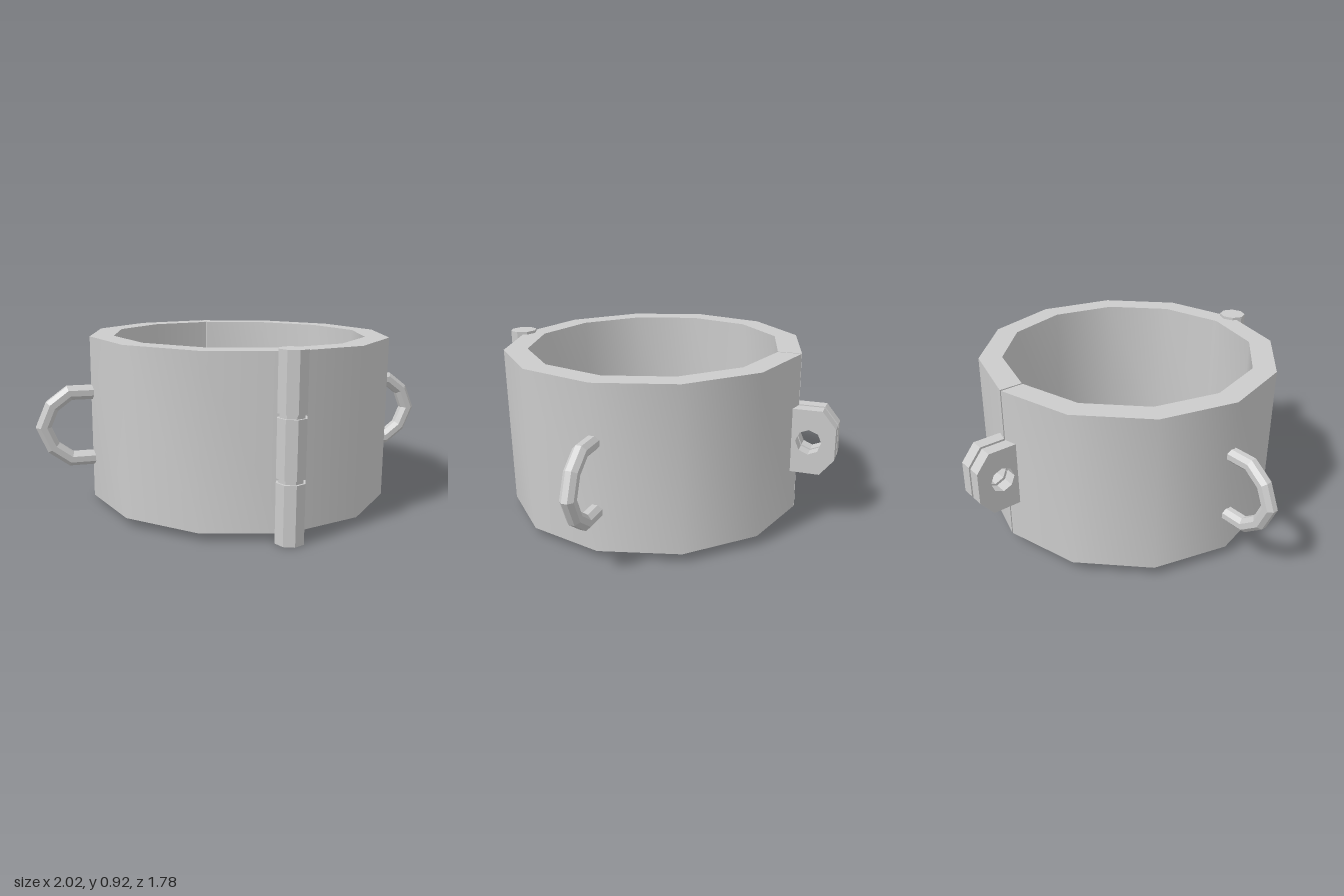
import * as THREE from 'three';
import { toCreasedNormals } from 'three/addons/utils/BufferGeometryUtils.js';

const rad = THREE.MathUtils.degToRad;
const CENTER_Z = 0.067, TILT = 0.011;
const SEAM = -65.5; // direction of the opening, opposite the hinge
const smooth = new THREE.MeshStandardMaterial({ color: 0xcccccc });
const faceted = new THREE.MeshStandardMaterial({ color: 0xcccccc, flatShading: true });

function add(parent, name, geometry, material) {
  const mesh = new THREE.Mesh(geometry, material);
  mesh.name = name;
  parent.add(mesh);
  return mesh;
}

// A pivot whose local +x points radially outward at the given angle
function spoke(parent, name, degrees) {
  const g = new THREE.Group();
  g.name = name;
  g.rotation.y = -rad(degrees);
  parent.add(g);
  return g;
}

// Half of the twelve-sided band, with a narrow slit at the opening
function halfBand(start, trimStart, trimEnd) {
  const outer = [], inner = [];
  for (let i = 0; i <= 6; i++) {
    const a = rad(start + i * 30 + (i === 0 ? trimStart : 0) - (i === 6 ? trimEnd : 0));
    outer.push(new THREE.Vector2(Math.cos(a), Math.sin(a)).multiplyScalar(0.81));
    inner.unshift(new THREE.Vector2(Math.cos(a), Math.sin(a)).multiplyScalar(0.685));
  }
  const geo = new THREE.ExtrudeGeometry(new THREE.Shape([...outer, ...inner]), { depth: 0.86, bevelEnabled: false });
  geo.rotateX(Math.PI / 2).translate(0, 0.907, 0);
  return toCreasedNormals(geo, rad(40));
}

// Plate with chamfered outer corners and a bolt hole
function lugPlate() {
  const shape = new THREE.Shape([
    [0.77, -0.175], [0.945, -0.175], [1.018, -0.085],
    [1.018, 0.085], [0.945, 0.175], [0.77, 0.175],
  ].map(([x, y]) => new THREE.Vector2(x, y)));
  const hole = [];
  for (let i = 0; i < 8; i++) {
    const a = -i * Math.PI / 4;
    hole.push(new THREE.Vector2(0.88 + 0.068 * Math.cos(a), 0.068 * Math.sin(a)));
  }
  shape.holes.push(new THREE.Path(hole));
  return new THREE.ExtrudeGeometry(shape, { depth: 0.067, bevelEnabled: false });
}

// Mitred sweep of an eight-sided section along a path in the xy plane
function sweep(points, radius, sides = 8) {
  const pos = [], index = [], n = points.length;
  points.forEach((p, i) => {
    const before = p.clone().sub(points[Math.max(i - 1, 0)]).normalize();
    const after = points[Math.min(i + 1, n - 1)].clone().sub(p).normalize();
    const tangent = before.clone().add(after).normalize();
    const miter = 1 / tangent.dot(i < n - 1 ? after : before);
    for (let j = 0; j < sides; j++) {
      const a = (j + 0.5) / sides * Math.PI * 2;
      const u = Math.cos(a) * radius * miter;
      pos.push(p.x - tangent.y * u, p.y + tangent.x * u, Math.sin(a) * radius);
      if (i < n - 1) {
        const k = (j + 1) % sides, s = i * sides, e = s + sides;
        index.push(s + j, s + k, e + j, s + k, e + k, e + j);
      }
    }
  });
  const geo = new THREE.BufferGeometry();
  geo.setAttribute('position', new THREE.Float32BufferAttribute(pos, 3));
  geo.setIndex(index);
  geo.computeVertexNormals();
  return geo;
}

export function createModel() {
  const model = new THREE.Group();
  model.name = 'hingedCuff';
  const tilted = new THREE.Group();
  tilted.name = 'cuffBody';
  tilted.rotation.x = TILT;
  tilted.position.set(0, 0, CENTER_Z - 0.46 * TILT);
  model.add(tilted);

  // Band halves
  add(tilted, 'leftHalfBand', halfBand(SEAM, 0.35, 0), smooth);
  add(tilted, 'rightHalfBand', halfBand(SEAM + 180, 0, 0.35), smooth);

  // Hinge: three barrels on a thinner pin
  const hinge = spoke(tilted, 'hinge', SEAM + 180);
  for (const [y0, y1] of [[0.009, 0.305], [0.326, 0.61], [0.631, 0.922]]) {
    const geo = new THREE.CylinderGeometry(0.074, 0.074, y1 - y0, 8);
    add(hinge, 'hingeBarrel', geo, faceted).position.set(0.822, (y0 + y1) / 2, 0);
  }
  add(hinge, 'hingePin', new THREE.CylinderGeometry(0.062, 0.062, 0.88, 8), faceted)
    .position.set(0.822, 0.466, 0);

  // Pair of locking lugs on either side of the opening
  const lugs = spoke(tilted, 'lockingLugs', SEAM);
  for (const z of [-0.075, 0.008]) {
    add(lugs, 'lockingLug', lugPlate(), faceted).position.set(0, 0.457, z);
  }

  // Chain loops on opposite sides
  const path = [
    [0.72, 0.177], [0.925, 0.177], [1.015, 0.11], [1.062, 0],
    [1.015, -0.11], [0.925, -0.177], [0.72, -0.177],
  ].map(([x, y]) => new THREE.Vector2(x, y));
  const loopGeo = sweep(path, 0.039);
  for (const [name, angle] of [['leftChainLoop', SEAM + 90], ['rightChainLoop', SEAM + 270]]) {
    add(spoke(tilted, name, angle), 'loop', loopGeo, faceted).position.y = 0.438;
  }
  return model;
}
